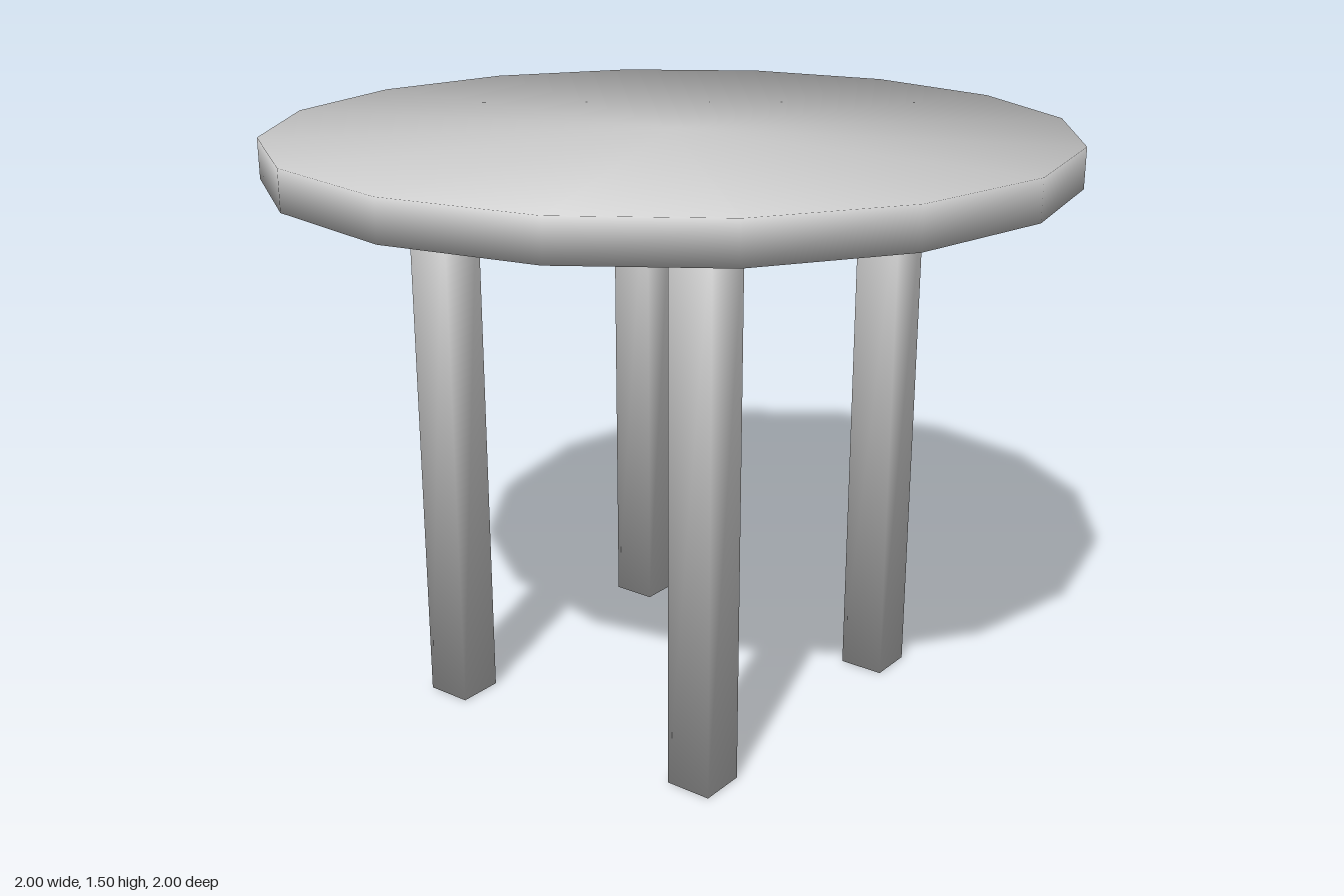
import * as THREE from 'three';

const LEG_HEIGHT = 1.4, LEG_WIDTH = 0.12, LEG_OFFSET = 0.4;
const TOP_RADIUS = 1, TOP_THICKNESS = 0.1;

// Soft shading across every edge: each normal points outward from the part's centre,
// with the position scaled per axis so that the edges lean at 45 degrees.
function softenNormals(geometry, sx, sy, sz) {
  const { position, normal } = geometry.attributes;
  const n = new THREE.Vector3();
  for (let i = 0; i < position.count; i++) {
    n.fromBufferAttribute(position, i);
    n.set(n.x / sx, n.y / sy, n.z / sz).normalize();
    normal.setXYZ(i, n.x, n.y, n.z);
  }
  return geometry;
}

export function createModel() {
  const table = new THREE.Group();
  table.name = 'roundTable';
  const material = new THREE.MeshStandardMaterial({ color: 0xcccccc });

  // Sixteen-sided table top
  const topGeometry = softenNormals(
    new THREE.CylinderGeometry(TOP_RADIUS, TOP_RADIUS, TOP_THICKNESS, 16),
    TOP_RADIUS, TOP_THICKNESS / 2, TOP_RADIUS);
  const top = new THREE.Mesh(topGeometry, material);
  top.name = 'tableTop';
  top.position.y = LEG_HEIGHT + TOP_THICKNESS / 2;
  table.add(top);

  // Four square legs
  const legGeometry = softenNormals(
    new THREE.BoxGeometry(LEG_WIDTH, LEG_HEIGHT, LEG_WIDTH),
    LEG_WIDTH / 2, LEG_HEIGHT / 2, LEG_WIDTH / 2);
  for (const [zName, z] of [['front', 1], ['back', -1]]) {
    for (const [xName, x] of [['Left', 1], ['Right', -1]]) {
      const leg = new THREE.Mesh(legGeometry, material);
      leg.name = `${zName}${xName}Leg`;
      leg.position.set(x * LEG_OFFSET, LEG_HEIGHT / 2, z * LEG_OFFSET);
      table.add(leg);
    }
  }

  return table;
}
